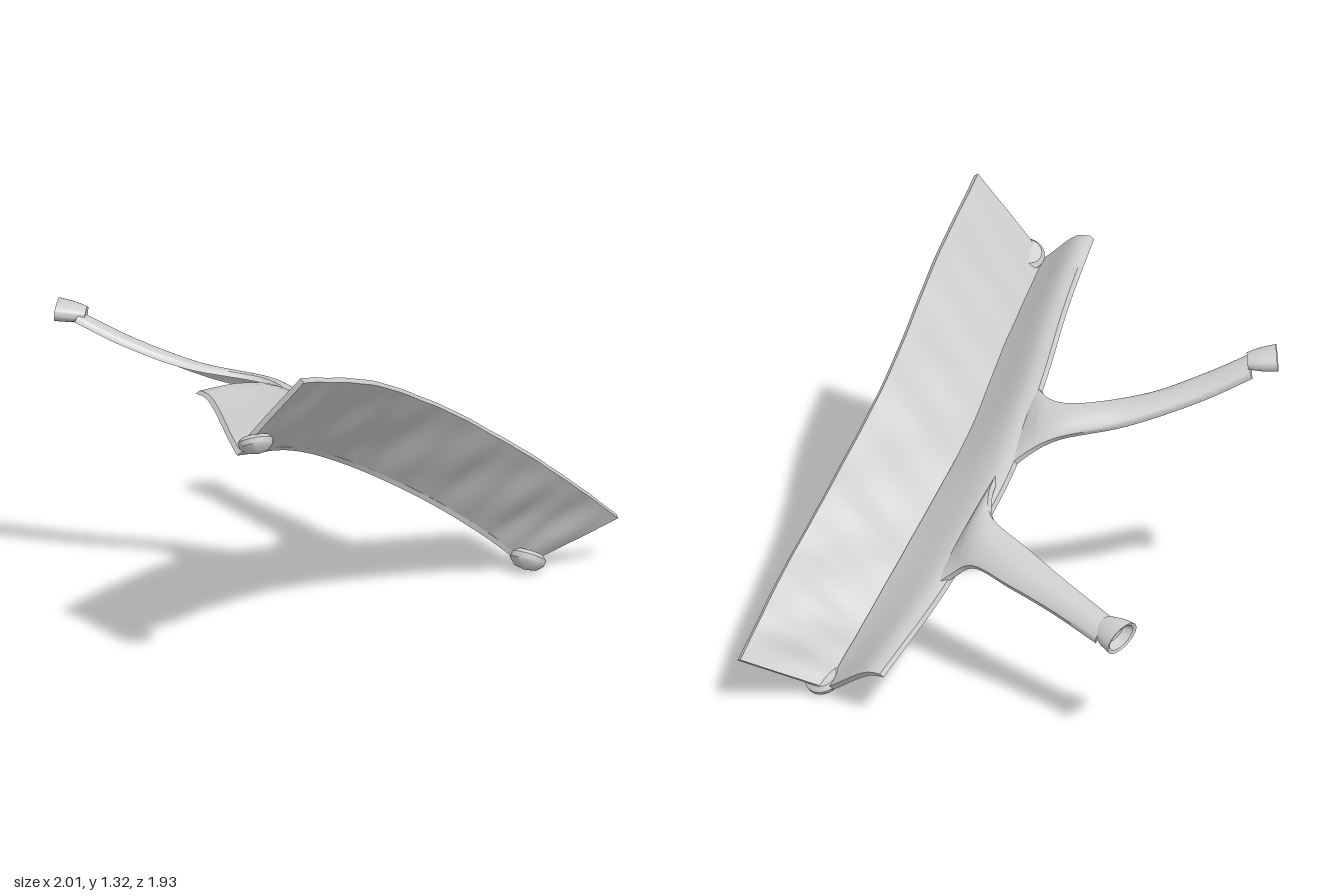
import * as THREE from 'three';
import { toCreasedNormals } from 'three/addons/utils/BufferGeometryUtils.js';

const grey = new THREE.MeshStandardMaterial({ color: 0xcccccc });
grey.name = 'light grey';

const curve = (pts) => new THREE.CatmullRomCurve3(pts.map((p) => new THREE.Vector3(...p)));

// Thin curved plate stretched between two edge curves; offset(u, v) shifts it along its normal.
function plate(name, edgeA, edgeB, thickness, offset, nu = 64, nv = 16) {
  const a = curve(edgeA), b = curve(edgeB);
  const base = (u, v) => a.getPoint(u).lerp(b.getPoint(u), v);
  const normal = (u) => {
    const e = 0.02;
    const du = base(Math.min(1, u + e), 0.5).sub(base(Math.max(0, u - e), 0.5));
    return du.cross(base(u, 1).sub(base(u, 0))).normalize();
  };
  const pos = [], idx = [], ring = 2 * (nv + 1);
  for (let i = 0; i <= nu; i++) {
    const u = i / nu, n = normal(u);
    for (let k = 0; k < ring; k++) {
      const back = k > nv;
      const v = (back ? ring - 1 - k : k) / nv;
      const p = base(u, v).addScaledVector(n, offset(u, v) - (back ? thickness : 0));
      pos.push(p.x, p.y, p.z);
    }
  }
  for (let i = 0; i < nu; i++) {
    for (let k = 0; k < ring; k++) {
      const p = i * ring + k, q = i * ring + (k + 1) % ring;
      idx.push(p, p + ring, q, q, p + ring, q + ring);
    }
  }
  // End caps
  for (let j = 0; j < nv; j++) {
    const o = nu * ring, c = ring - 1 - j;
    idx.push(j, j + 1, c, j + 1, c - 1, c);
    idx.push(o + j, o + c, o + j + 1, o + j + 1, o + c, o + c - 1);
  }
  const g = new THREE.BufferGeometry();
  g.setAttribute('position', new THREE.Float32BufferAttribute(pos, 3));
  g.setIndex(idx);
  const mesh = new THREE.Mesh(toCreasedNormals(g, 0.9), grey);
  mesh.name = name;
  return mesh;
}

// Small turned pad along dir, flattened across the plate's thickness
function pad(name, profile, at, dir, flatten) {
  const d = new THREE.Vector3(...dir).normalize();
  const side = new THREE.Vector3(0.45, 0.8, 0.3);
  side.addScaledVector(d, -side.dot(d)).normalize();
  const across = new THREE.Vector3().crossVectors(d, side);
  const g = new THREE.LatheGeometry(profile.map((p) => new THREE.Vector2(...p)), 28);
  g.scale(1, 1, flatten);
  const mesh = new THREE.Mesh(toCreasedNormals(g, 0.6), grey);
  mesh.name = name;
  mesh.quaternion.setFromRotationMatrix(new THREE.Matrix4().makeBasis(across, d, side));
  mesh.position.set(...at);
  return mesh;
}

export function createModel() {
  const group = new THREE.Group();
  group.name = 'curvedBracket';

  // Shared fold line between the two long plates
  const fold = [[-0.97, 1.0, 0.75], [-0.6, 0.88, 0.53], [-0.2, 0.67, 0.31],
    [0.2, 0.42, 0.175], [0.5, 0.2, 0.1], [0.7, 0.03, 0.07]];

  // Rippled front wall
  const rim = [[-0.83, 1.31, 0.96], [-0.42, 1.155, 0.735], [0, 0.925, 0.508],
    [0.4, 0.66, 0.368], [0.72, 0.42, 0.285], [1.0, 0.19, 0.205]];
  const ripple = (u, v) => (0.3 + 0.7 * Math.sin(Math.PI * v)) *
    (0.004 * Math.sin(u * 66 + v * 2) + 0.005 * Math.sin(u * 29 - v * 3));
  group.add(plate('frontWall', fold, rim, 0.022, ripple, 120, 12));

  // Smooth rear body with a rolled-over rear rim
  const edge = [[-0.99, 1.185, 0.52], [-0.67, 1.085, 0.3], [-0.37, 0.945, 0.09],
    [-0.08, 0.725, -0.065], [0.32, 0.435, -0.165], [0.7, 0.205, -0.225]];
  const bulge = (u, v) => 0.012 * Math.sin(Math.PI * v * v) -
    0.018 * Math.max(0, (v - 0.82) / 0.18) ** 2;
  group.add(plate('rearBody', fold, edge, 0.02, bulge));

  // Two tapering arms that emerge from just inside the body's rear rim
  const crown = (u, v) => 0.022 * Math.sin(Math.PI * v) ** 0.8 * Math.min(1, 4 * u);
  group.add(plate('upperArm',
    [[-0.06, 0.68, -0.02], [-0.17, 0.775, -0.085], [-0.24, 0.82, -0.14],
      [-0.43, 0.875, -0.3], [-0.65, 0.975, -0.48], [-0.8, 1.065, -0.6]],
    [[-0.44, 0.94, 0.18], [-0.345, 0.91, 0.04], [-0.35, 0.91, -0.08],
      [-0.57, 0.95, -0.28], [-0.75, 1.03, -0.42], [-0.88, 1.11, -0.53]], 0.02, crown));
  group.add(plate('lowerArm',
    [[0.36, 0.385, -0.12], [0.295, 0.45, -0.175], [0.265, 0.505, -0.25],
      [0.25, 0.49, -0.45], [0.225, 0.455, -0.65], [0.21, 0.41, -0.88]],
    [[-0.1, 0.71, -0.01], [0.03, 0.67, -0.09], [0.1, 0.63, -0.18],
      [0.11, 0.575, -0.4], [0.11, 0.515, -0.63], [0.105, 0.455, -0.87]], 0.02, crown));

  // Domed pads under the fold ends
  const dome = [[0, -0.025], [0.055, -0.025], [0.072, -0.01], [0.068, 0.01], [0.045, 0.032], [0, 0.042]];
  group.add(pad('upperFoldPad', dome, [-0.915, 1.03, 0.765], [-0.1, -0.85, 0.5], 0.9));
  group.add(pad('lowerFoldPad', dome, [0.68, 0.058, 0.09], [-0.45, -0.8, 0.25], 0.9));

  // Flared cups on the arm tips
  const cup = [[0, -0.06], [0.045, -0.06], [0.056, -0.035], [0.067, 0], [0.074, 0.05], [0.06, 0.045], [0.045, 0.005], [0, 0]];
  group.add(pad('upperArmPad', cup, [-0.865, 1.11, -0.6], [-0.7, 0.1, -0.6], 0.55));
  group.add(pad('lowerArmPad', cup, [0.148, 0.43, -0.91], [0, -0.12, -1], 0.6));
  return group;
}
